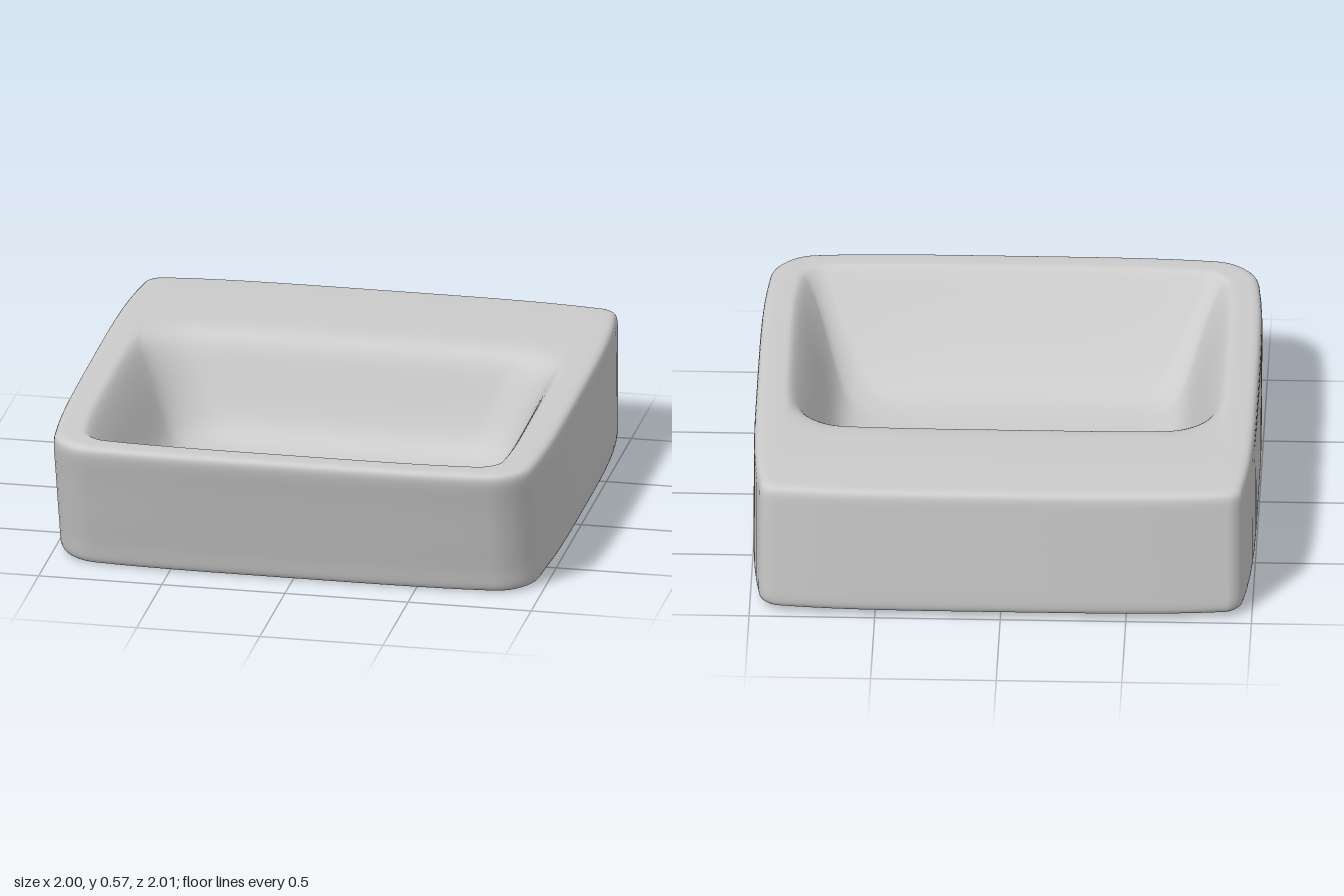
import * as THREE from 'three';

// Control sections from the underside, up the walls, over the rim, down into the bowl:
// [y, half width, front z, back z, front corner radius, back corner radius]
const SECTIONS = [
  [0.0, 0.0, -0.05, -0.05, 0, 0],
  [0.0, 0.0, -0.05, -0.05, 0, 0],
  [0.0, 0.5, 0.4, -0.5, 0.06, 0.03],
  [0.0, 0.86, 0.74, -0.88, 0.1, 0.04],
  [0.0, 0.95, 0.82, -0.95, 0.12, 0.05],
  [0.005, 1.0, 0.85, -1.0, 0.14, 0.06],
  [0.08, 1.0, 0.865, -1.0, 0.15, 0.05],
  [0.2, 1.0, 0.905, -1.0, 0.15, 0.05],
  [0.4, 1.0, 0.965, -1.0, 0.15, 0.05],
  [0.5, 1.0, 1.0, -1.0, 0.15, 0.05],
  [0.565, 0.998, 1.015, -1.0, 0.15, 0.05],
  [0.568, 0.95, 0.965, -0.95, 0.13, 0.05],
  [0.568, 0.92, 0.94, -0.8, 0.12, 0.08],
  [0.568, 0.89, 0.92, -0.6, 0.1, 0.12],
  [0.565, 0.87, 0.9, -0.45, 0.08, 0.17],
  [0.53, 0.84, 0.87, -0.39, 0.06, 0.18],
  [0.42, 0.785, 0.78, -0.35, 0.06, 0.18],
  [0.28, 0.73, 0.66, -0.3, 0.08, 0.18],
  [0.16, 0.67, 0.55, -0.24, 0.1, 0.18],
  [0.14, 0.52, 0.4, -0.1, 0.1, 0.14],
  [0.13, 0.3, 0.25, 0.0, 0.06, 0.06],
  [0.13, 0.0, 0.1, 0.1, 0, 0],
  [0.13, 0.0, 0.1, 0.1, 0, 0],
];
const STEPS = 5, CORNER = 8, SIDE = 16;

// Uniform cubic B-spline through the section parameters keeps the ceramic soft
function smoothSections() {
  const at = i => SECTIONS[Math.max(0, Math.min(SECTIONS.length - 1, i))];
  const rows = [];
  for (let i = 0; i < SECTIONS.length - 1; i++) {
    for (let s = 0; s < STEPS; s++) {
      const t = s / STEPS, u = 1 - t;
      const w = [u ** 3, 3 * t ** 3 - 6 * t * t + 4, -3 * t ** 3 + 3 * t * t + 3 * t + 1, t ** 3];
      rows.push(SECTIONS[0].map((_, k) =>
        w.reduce((sum, weight, n) => sum + weight * at(i - 1 + n)[k] / 6, 0)));
    }
  }
  rows.push(SECTIONS[SECTIONS.length - 1]);
  return rows;
}

// Rounded rectangle with gently bowed sides
function ring([y, hw, zf, zb, rf, rb]) {
  const outline = [];
  const corners = [[1, -1], [-1, -1], [-1, 1], [1, 1]];
  const cornerPoint = (c, a) => {
    const [sx, sz] = corners[c], r = sz > 0 ? rf : rb;
    const angle = (c + a) * Math.PI / 2;
    return [sx * (hw - r) + r * Math.cos(angle),
      (sz > 0 ? zf - r : zb + r) - r * Math.sin(angle)];
  };
  for (let c = 0; c < 4; c++) {
    for (let k = 0; k <= CORNER; k++) outline.push(cornerPoint(c, k / CORNER));
    const p = cornerPoint(c, 1), q = cornerPoint((c + 1) % 4, 0);
    for (let k = 1; k < SIDE; k++) {
      const t = k / SIDE;
      outline.push([p[0] + (q[0] - p[0]) * t, p[1] + (q[1] - p[1]) * t]);
    }
  }
  const mid = (zf + zb) / 2, half = Math.max((zf - zb) / 2, 1e-6), width = Math.max(hw, 1e-6);
  return outline.map(([x, z]) => {
    const u = x / width, v = (z - mid) / half;
    const px = x * (1 - 0.045 * v ** 4);
    const pz = mid + (z - mid) * (1 - 0.04 * u ** 4);
    // Underside dips at the front, rim falls slightly towards the front
    const h = y / 0.568;
    const lift = 0.018 * (1 - THREE.MathUtils.smoothstep(pz, 0.55, 0.8)) * (1 - h);
    const fall = 0.012 * THREE.MathUtils.smoothstep(pz, -0.8, 1) * h;
    return [px, y + lift - fall, pz];
  });
}

function loft(rings) {
  const n = rings[0].length, index = [];
  for (let i = 0; i < rings.length - 1; i++) {
    for (let j = 0; j < n; j++) {
      const a = i * n + j, b = i * n + (j + 1) % n;
      // The first and last rings are single points
      if (i > 0) index.push(a, b, b + n);
      if (i < rings.length - 2 || i === 0) index.push(a, b + n, a + n);
    }
  }
  const geometry = new THREE.BufferGeometry();
  geometry.setAttribute('position', new THREE.Float32BufferAttribute(rings.flat(2), 3));
  geometry.setIndex(index);
  geometry.computeVertexNormals();
  return geometry;
}

export function createModel() {
  const group = new THREE.Group();
  group.name = 'washbasin';
  // One continuous shell: underside, walls, rear deck, rim and bowl
  const basin = new THREE.Mesh(
    loft(smoothSections().map(ring)),
    new THREE.MeshStandardMaterial({ color: 0xcccccc }));
  basin.name = 'basin';
  group.add(basin);
  return group;
}
